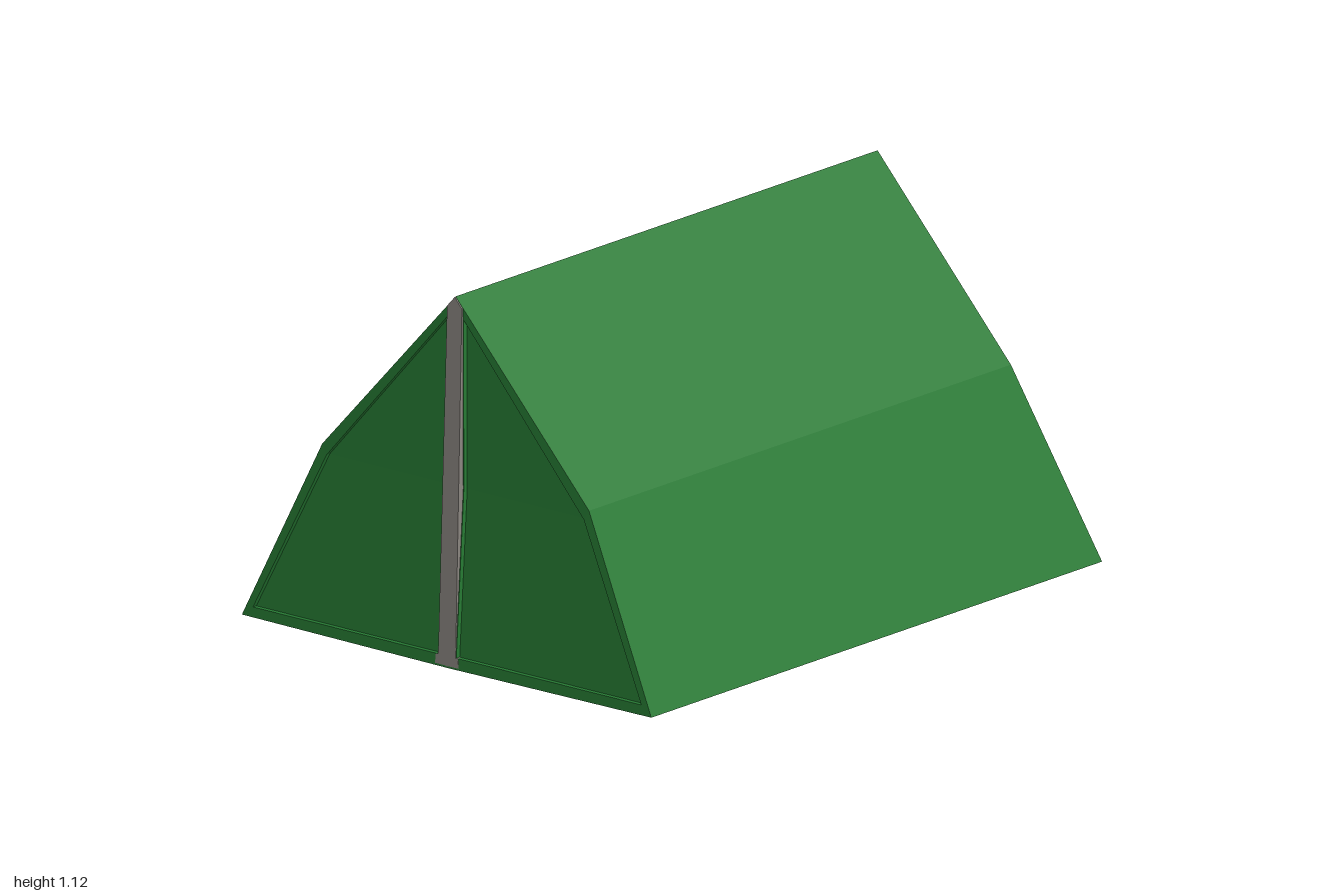
import * as THREE from 'three';

const canvas = new THREE.MeshStandardMaterial({ color: 0x267a33, side: THREE.DoubleSide });
canvas.name = 'green canvas';
const grey = new THREE.MeshStandardMaterial({ color: 0x8a8580, side: THREE.DoubleSide });
grey.name = 'grey pole';

// Flat faceted mesh from polygons (each fanned from its first corner, counter-clockwise)
function facets(name, polygons, material) {
  const pos = [];
  for (const p of polygons)
    for (let i = 1; i + 1 < p.length; i++) pos.push(...p[0], ...p[i], ...p[i + 1]);
  const geometry = new THREE.BufferGeometry();
  geometry.setAttribute('position', new THREE.Float32BufferAttribute(pos, 3));
  geometry.computeVertexNormals();
  const mesh = new THREE.Mesh(geometry, material);
  mesh.name = name;
  return mesh;
}

const KNEE = 0.57;
// Front and back ends lean inwards up to the knee, then rise straight
const lean = (y) => Math.max(0, (KNEE - y) / (KNEE - 0.01));
const frontZ = (y) => 0.96 + 0.04 * Math.min(1, lean(y));
const backZ = (y) => -0.912 - 0.088 * Math.min(1, lean(y));

// Half outlines of the end wall and of the inset door panel
const outer = [[0, 0.005], [0.775, 0.01], [0.505, KNEE], [0, 1.115], [0, KNEE]];
const inner = [[0.035, 0.04], [0.735, 0.04], [0.487, 0.54], [0.03, 1.05], [0.033, 0.54]];
const RECESS = 0.015;

export function createModel() {
  const group = new THREE.Group();
  group.name = 'tent';

  for (const s of [1, -1]) {
    const side = s > 0 ? 'left' : 'right';
    const front = ([x, y], inset = 0) => [s * x, y, frontZ(y) - inset];
    const back = ([x, y]) => [s * x, y, backZ(y)];
    const wind = (polys) => (s > 0 ? polys : polys.map((p) => [...p].reverse()));
    const add = (name, polys) => group.add(facets(name, wind(polys), canvas));

    // Lower wall and roof slope
    const strip = (i) => [front(outer[i]), back(outer[i]), back(outer[i + 1]), front(outer[i + 1])];
    add(side + 'Wall', [strip(1)]);
    add(side + 'Roof', [strip(2)]);

    // Back end
    const b = outer.map(back);
    add(side + 'BackWall', [[b[0], b[4], b[2], b[1]], [b[4], b[3], b[2]]]);

    // Border around the door and the step down to the panel
    const border = [], step = [];
    for (let i = 0; i < 5; i++) {
      const j = (i + 1) % 5;
      border.push([front(outer[i]), front(outer[j]), front(inner[j]), front(inner[i])]);
      step.push([front(inner[i]), front(inner[j]), front(inner[j], RECESS), front(inner[i], RECESS)]);
    }
    add(side + 'DoorBorder', border);
    add(side + 'DoorStep', step);

    // Recessed door panel
    const d = inner.map((p) => front(p, RECESS));
    add(side + 'DoorPanel', [[d[0], d[1], d[2], d[4]], [d[4], d[2], d[3]]]);

    // Floor, sagging slightly to the middle
    const centre = [0, 0, 0];
    add(side + 'Floor', [
      [centre, front(outer[1]), front(outer[0])],
      [centre, back(outer[1]), front(outer[1])],
      [centre, back(outer[0]), back(outer[1])],
    ]);
  }

  // Front pole, with a wider foot and pointed top, leaning back along the door
  const half = [[0.045, 0.005], [0.042, 0.04], [0.033, 0.04], [0.028, 1.083]];
  const outline = [...half, [0, 1.114], ...half.map(([x, y]) => [-x, y]).reverse()];
  const shape = new THREE.Shape(outline.map(([x, y]) => new THREE.Vector2(x, y)));
  const poleGeometry = new THREE.ExtrudeGeometry(shape, { depth: 0.04, bevelEnabled: false });
  const p = poleGeometry.attributes.position;
  for (let i = 0; i < p.count; i++) p.setZ(i, p.getZ(i) + 0.96 - 0.036 * p.getY(i) / 1.115);
  poleGeometry.computeVertexNormals();
  const pole = new THREE.Mesh(poleGeometry, grey);
  pole.name = 'frontPole';
  group.add(pole);

  return group;
}
